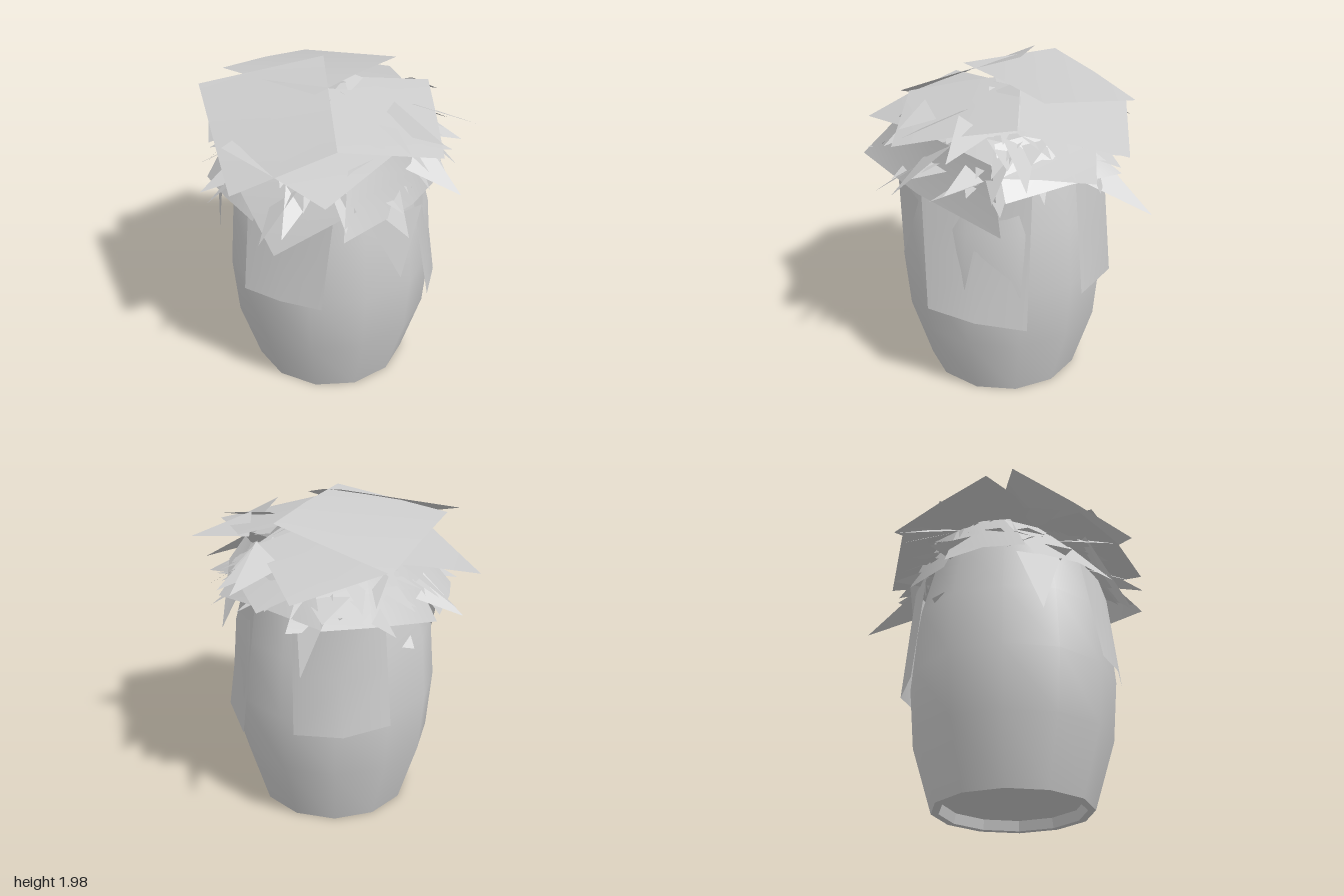
import * as THREE from 'three';

const potMat = new THREE.MeshStandardMaterial({ color: 0xcccccc });
const flatMat = new THREE.MeshStandardMaterial({ color: 0xcccccc, flatShading: true });
const leafMat = new THREE.MeshStandardMaterial({ color: 0xcccccc, side: THREE.DoubleSide });
const V = (p) => new THREE.Vector3(...p);

function seeded(seed) {
  return () => {
    seed = (seed * 16807) % 2147483647;
    return seed / 2147483647;
  };
}

// Four-cornered leaf sheet, bent outwards along its middle by "bulge"
function sheet(name, [a, b, c, d], bulge) {
  const [A, B, C, D] = [a, b, c, d].map(V);
  const normal = B.clone().sub(A).cross(D.clone().sub(A)).normalize();
  if (normal.dot(A.clone().add(C).setY(1)) < 0) normal.negate();
  const geo = new THREE.PlaneGeometry(1, 1, 2, 2);
  const pos = geo.attributes.position;
  for (let i = 0; i < pos.count; i++) {
    const u = pos.getX(i) + 0.5, v = 0.5 - pos.getY(i);
    const p = A.clone().lerp(B, u).lerp(D.clone().lerp(C, u), v);
    p.addScaledVector(normal, bulge * 4 * u * (1 - u));
    pos.setXYZ(i, p.x, p.y, p.z);
  }
  geo.computeVertexNormals();
  const mesh = new THREE.Mesh(geo, leafMat);
  mesh.name = name;
  return mesh;
}

// Pointed leaf from a tip back towards a base of a given width; "twist" tilts the base
function spike(name, tip, base, width, twist = 0) {
  const T = V(tip), B = V(base);
  const side = new THREE.Vector3(-(T.z + B.z), 0, T.x + B.x).normalize().setY(twist).setLength(width / 2);
  const geo = new THREE.BufferGeometry().setFromPoints([T, B.clone().add(side), B.clone().sub(side)]);
  geo.computeVertexNormals();
  const mesh = new THREE.Mesh(geo, leafMat);
  mesh.name = name;
  return mesh;
}

function lathe(name, points, mat) {
  const mesh = new THREE.Mesh(new THREE.LatheGeometry(points.map((p) => new THREE.Vector2(...p)), 12), mat);
  mesh.name = name;
  return mesh;
}

export function createModel() {
  const model = new THREE.Group();
  model.name = 'pottedPlant';

  // Barrel-shaped pot with a recessed underside
  const pot = new THREE.Group();
  pot.name = 'pot';
  pot.position.set(0.005, 0, 0.04);
  pot.add(lathe('potWall', [[0.47, 0], [0.59, 0.4], [0.62, 0.77], [0.59, 1.15], [0.5, 1.5]], potMat));
  pot.add(lathe('potFoot', [[0, 0.06], [0.41, 0.06], [0.425, 0], [0.47, 0]], flatMat));
  pot.add(lathe('soil', [[0.5, 1.5], [0, 1.55]], flatMat));
  model.add(pot);

  const foliage = new THREE.Group();
  foliage.name = 'foliage';
  model.add(foliage);

  // Large overlapping leaves on the crown
  const crown = [
    [[0.11, 1.91, 0.28], [0.11, 1.88, -0.44], [-0.6, 1.72, -0.43], [-0.6, 1.85, 0.28]],
    [[-0.08, 1.98, -0.01], [0.43, 1.76, 0.47], [0.04, 1.53, 0.88], [-0.6, 1.82, 0.47]],
    [[0.32, 1.79, -0.47], [0.79, 1.66, 0.02], [0.36, 1.74, 0.48], [-0.12, 1.86, 0.03]],
    [[-0.16, 1.77, 0.03], [0.56, 1.68, 0], [0.53, 1.56, 0.68], [-0.16, 1.68, 0.73]],
    [[-0.87, 1.57, 0.16], [-0.38, 1.72, -0.34], [0.1, 1.82, 0.14], [-0.36, 1.6, 0.64]],
    [[-0.2, 1.6, -0.79], [0.25, 1.72, -0.4], [-0.1, 1.86, 0], [-0.6, 1.72, -0.35]],
    [[0.02, 1.5, -0.77], [0.45, 1.52, -0.38], [0.1, 1.83, 0.05], [-0.4, 1.7, -0.3]],
  ];
  crown.forEach((c) => foliage.add(sheet('crownLeaf', c, 0.01)));

  // Sloping leaves around the rim
  const rim = [
    [[-0.5, 1.28, 0.55], [0.05, 1.3, 0.73], [0, 1.62, 0.45], [-0.45, 1.62, 0.3]],
    [[0.23, 1.17, 0.76], [0.57, 1.46, 0.48], [0.2, 1.72, 0.38], [-0.16, 1.51, 0.68]],
    [[0.61, 1.36, 0.63], [0.45, 1.2, -0.49], [0.44, 1.6, -0.4], [0.46, 1.64, 0.42]],
    [[0.44, 1.42, -0.52], [-0.3, 1.42, -0.64], [-0.1, 1.66, -0.4], [0.34, 1.66, -0.3]],
    [[-0.1, 1.37, -0.68], [-0.67, 1.28, 0.04], [-0.46, 1.66, 0.02], [-0.1, 1.68, -0.46]],
    [[-0.68, 1.32, 0.05], [-0.55, 1.32, 0.52], [-0.38, 1.66, 0.3], [-0.45, 1.66, -0.05]],
  ];
  const rimBulge = [0.03, 0, 0.1, 0.05, 0.12, 0.03];
  rim.forEach((c, i) => foliage.add(sheet('rimLeaf', c, rimBulge[i])));

  // Broad leaves hanging down the pot: front, right and back left
  const hanging = [
    [[-0.1, 1.4, 0.6], [0.42, 1.4, 0.48], [0.4, 0.765, 0.57], [-0.065, 0.77, 0.71]],
    [[0.6, 1.42, 0.04], [0.22, 1.42, -0.48], [0.3, 0.555, -0.54], [0.67, 0.63, -0.08]],
    [[-0.05, 1.42, -0.53], [-0.48, 1.42, -0.25], [-0.55, 0.72, -0.28], [-0.08, 0.68, -0.585]],
  ];
  const hangingBulge = [0.03, 0.055, 0.1];
  hanging.forEach((c, i) => foliage.add(sheet('hangingLeaf', c, hangingBulge[i])));

  // Pointed leaves: tip position, length back to the base, width
  const tips = [
    [-0.31, 1.25, -0.88, 0.4, 0.22], [0.18, 1.57, -0.78, 0.3, 0.22], [0.54, 1.45, -0.53, 0.28, 0.2],
    [0.72, 1.68, -0.38, 0.35, 0.2], [0.86, 1.42, -0.06, 0.4, 0.28], [0.77, 1.62, 0.13, 0.3, 0.2],
    [0.77, 1.28, 0.28, 0.35, 0.28], [0.6, 1.4, 0.6, 0.3, 0.22], [0.23, 1.3, 0.87, 0.35, 0.2],
    [0.32, 1.33, 0.79, 0.3, 0.18], [-0.15, 1.4, 0.87, 0.35, 0.2], [-0.38, 1.3, 0.72, 0.3, 0.2],
    [-0.57, 1.34, 0.57, 0.3, 0.22], [-0.86, 1.48, -0.15, 0.4, 0.24], [-0.82, 1.34, 0.06, 0.35, 0.24],
    [-0.48, 1.5, -0.52, 0.3, 0.24], [0.76, 1.71, -0.02, 0.4, 0.2], [0.38, 1.5, -0.62, 0.3, 0.2],
    [-0.6, 1.15, -0.1, 0.12, 0.2], [-0.62, 1.6, -0.34, 0.3, 0.2],
  ];
  tips.forEach(([x, y, z, len, width], i) => {
    const k = 1 - len / Math.hypot(x, z);
    const base = [x * k, Math.min(y + len * 0.5, 1.76), z * k];
    foliage.add(spike('pointedLeaf', [x, y, z], base, width, i % 2 ? 0.5 : -0.5));
  });
  foliage.add(spike('droopingLeaf', [-0.42, 0.97, 0.55], [-0.42, 1.32, 0.52], 0.26));
  foliage.add(spike('droopingLeaf', [0.65, 0.89, 0.17], [0.6, 1.3, 0.17], 0.36));

  // Rings of scattered leaves: count, inner radius, spread, length, width
  const rand = seeded(41);
  const rings = [[60, 0.48, 0.26, 0.22, 0.18], [24, 0.2, 0.3, 0.22, 0.16]];
  for (const [count, inner, spread, length, width] of rings) {
    for (let i = 0; i < count; i++) {
      const a = i * 2.4, r = inner + spread * rand(), len = length * (0.7 + 0.7 * rand());
      const y = 1.85 - 0.72 * r * r - 0.14 * rand();
      const b = a + 0.5 * (rand() - 0.5);
      foliage.add(spike('smallLeaf',
        [r * Math.sin(a), y, r * Math.cos(a)],
        [(r - len) * Math.sin(b), y + len * (0.2 + 0.4 * r), (r - len) * Math.cos(b)],
        width * (0.7 + 0.7 * rand()), rand() - 0.5));
    }
  }
  return model;
}
